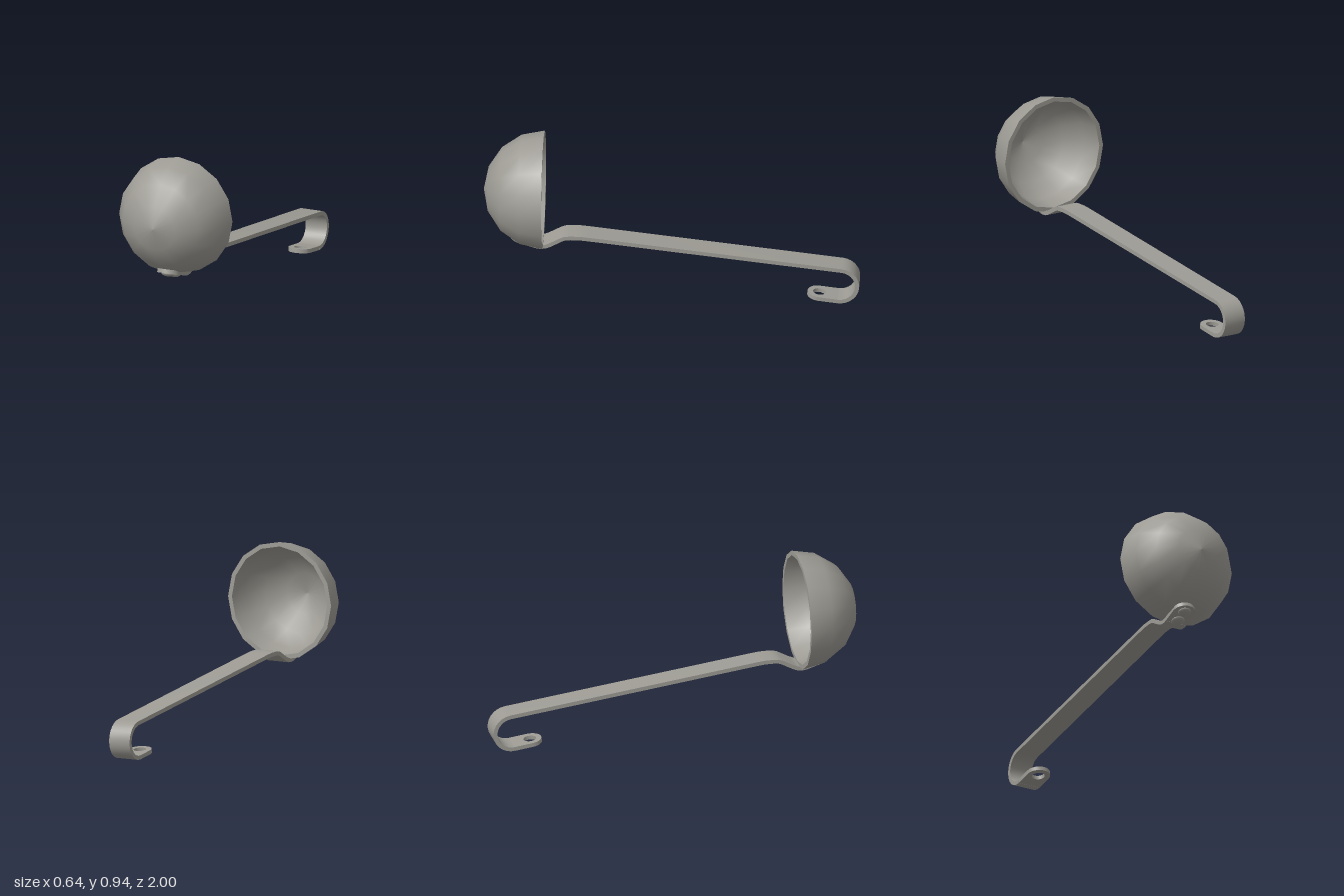
import * as THREE from 'three';
import { toCreasedNormals } from 'three/addons/utils/BufferGeometryUtils.js';

const HALF = 0.063; // half width of the metal strip
const THICK = 0.022;

export function createModel() {
  const model = new THREE.Group();
  model.name = 'ladle';
  const steel = new THREE.MeshStandardMaterial({ color: 0x9d9b94 });
  steel.name = 'brushed steel';

  const add = (parent, geometry, name) => {
    const mesh = new THREE.Mesh(geometry, steel);
    mesh.name = name;
    parent.add(mesh);
    return mesh;
  };

  // Bowl: faceted half sphere with a thin wall, opening to the back
  const bowl = new THREE.Group();
  bowl.name = 'bowl';
  bowl.position.set(0, 0.62, 0.684);
  bowl.rotation.x = Math.PI / 2;
  model.add(bowl);
  const outer = 0.318, inner = 0.294;
  const arc = (r) => [0, 1, 2, 3, 4].map((i) => {
    const a = (i * Math.PI) / 8;
    return new THREE.Vector2(i === 4 ? 0 : r * Math.cos(a), r * Math.sin(a));
  });
  add(bowl, new THREE.LatheGeometry(arc(outer), 16), 'bowlOutside');
  add(bowl, new THREE.LatheGeometry(arc(inner).reverse(), 16), 'bowlInside');
  add(bowl, new THREE.LatheGeometry([new THREE.Vector2(inner, 0), new THREE.Vector2(outer, 0)], 16), 'bowlRim');

  // Handle centre line as (z, y): neck, long shaft, then the hook
  const path = [
    [0.72, 0.308], [0.70, 0.305], [0.675, 0.307], [0.65, 0.317], [0.585, 0.353],
    [0.565, 0.36], [0.54, 0.362], [0.49, 0.362], [0.45, 0.358],
  ].map(([z, y]) => new THREE.Vector2(z, y));
  const hookR = 0.094, hookZ = -0.895, hookY = 0.105;
  for (let i = 0; i <= 14; i++) {
    const a = THREE.MathUtils.degToRad(96.7 + (i / 14) * 180);
    path.push(new THREE.Vector2(hookZ + hookR * Math.cos(a), hookY + hookR * Math.sin(a)));
  }

  // Offset the centre line to both sides and extrude across the width
  const side = (s) => path.map((p, i) => {
    const a = path[Math.max(i - 1, 0)], b = path[Math.min(i + 1, path.length - 1)];
    const t = b.clone().sub(a).normalize();
    return new THREE.Vector2(p.x - t.y * s, p.y + t.x * s);
  });
  const outline = new THREE.Shape([...side(THICK / 2), ...side(-THICK / 2).reverse()]);
  const strip = new THREE.ExtrudeGeometry(outline, { depth: HALF * 2, bevelEnabled: false });
  strip.translate(0, 0, -HALF).rotateY(-Math.PI / 2);
  add(model, toCreasedNormals(strip, 0.6), 'handle');

  // Flat tab with a round end, running from one (z, y) point to another
  const addTab = (from, to, hole, name) => {
    const dz = to.x - from.x, dy = to.y - from.y;
    const length = Math.hypot(dz, dy);
    const shape = new THREE.Shape();
    shape.moveTo(-HALF, 0);
    shape.lineTo(HALF, 0);
    shape.absarc(0, length - HALF, HALF, 0, Math.PI, false);
    shape.closePath();
    if (hole) {
      shape.holes.push(new THREE.Path().absarc(0, length - HALF, hole, 0, Math.PI * 2, true));
    }
    const geometry = new THREE.ExtrudeGeometry(shape, { depth: THICK, bevelEnabled: false, curveSegments: 8 });
    geometry.translate(0, 0, -THICK / 2);
    const tab = new THREE.Group();
    tab.name = name;
    tab.position.set(0, from.y, from.x);
    tab.rotation.x = Math.atan2(dz, dy);
    add(tab, toCreasedNormals(geometry, 0.6), name + 'Plate');
    model.add(tab);
    return tab;
  };

  // Hanging end with its hole
  addTab(path[path.length - 1], new THREE.Vector2(-0.721, 0.032), 0.034, 'hangingTab');

  // Tab under the bowl with two domed rivets
  const bowlTab = addTab(path[0], new THREE.Vector2(0.862, 0.352), 0, 'bowlTab');
  for (const u of [0.022, 0.096]) {
    const dome = new THREE.SphereGeometry(0.036, 12, 4, 0, Math.PI * 2, 0, Math.PI / 2);
    dome.scale(1, 0.45, 1).rotateX(Math.PI / 2);
    add(bowlTab, dome, 'rivet').position.set(0, u, THICK / 2);
  }
  return model;
}
